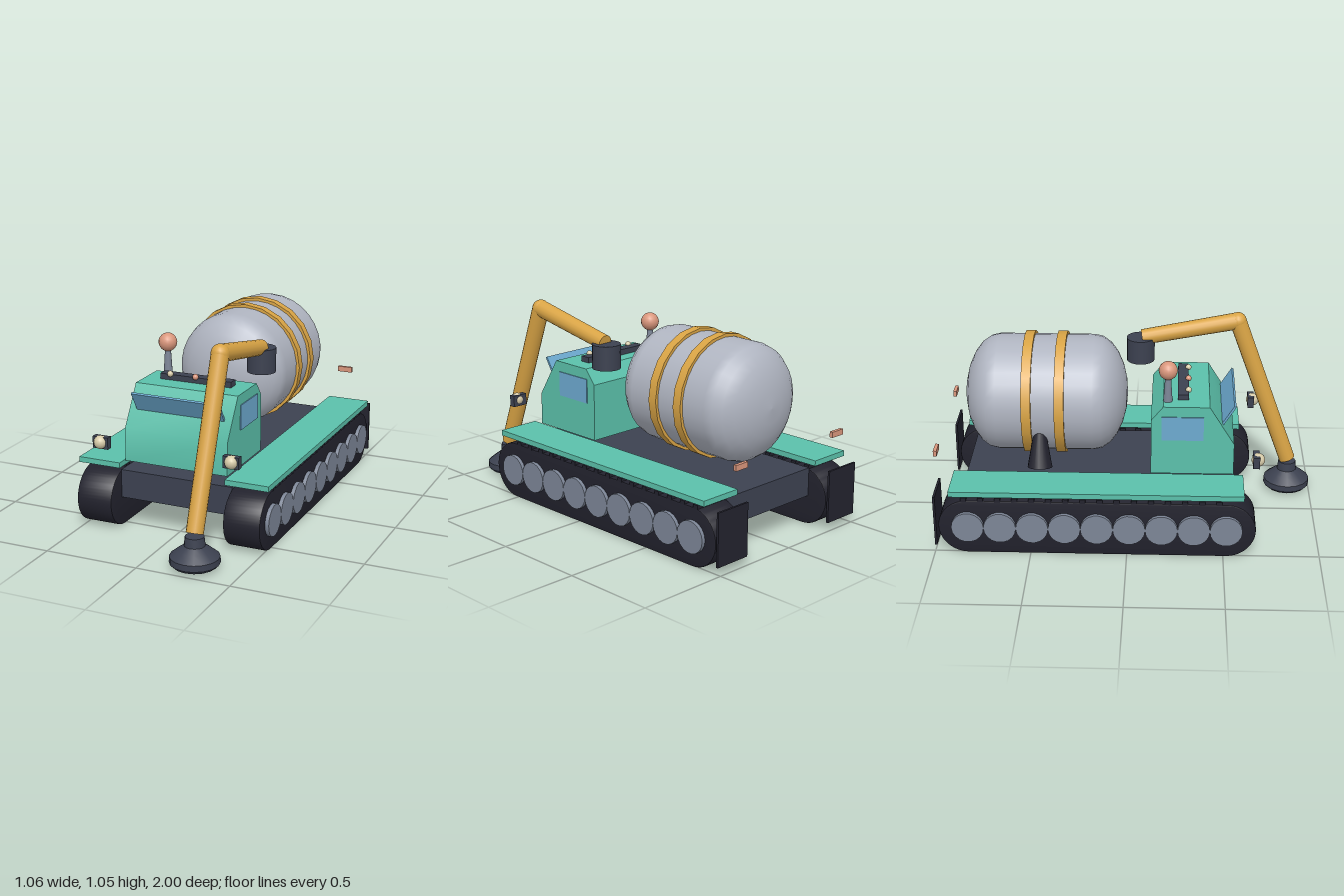
import * as THREE from 'three';
import { toCreasedNormals } from 'three/addons/utils/BufferGeometryUtils.js';

const mat = (name, color, side = THREE.FrontSide) => {
  const m = new THREE.MeshStandardMaterial({ color, side });
  m.name = name;
  return m;
};

export function createModel() {
  const teal = mat('teal paint', 0x5bc0aa);
  const yellow = mat('yellow paint', 0xd9a445);
  const drumGrey = mat('drum grey', 0xb0b5c1);
  const steel = mat('steel grey', 0x7c8596);
  const slate = mat('dark slate', 0x3c4150);
  const black = mat('rubber black', 0x22222d, THREE.DoubleSide);
  const glass = mat('blue glass', 0x6ca9cf);
  const salmon = mat('salmon lamp', 0xd9967c);
  const cream = mat('cream lamp', 0xd6caa8);

  const model = new THREE.Group();
  model.name = 'trackedMixer';

  const add = (name, geo, material, x = 0, y = 0, z = 0) => {
    const m = new THREE.Mesh(geo, material);
    m.name = name;
    m.position.set(x, y, z);
    model.add(m);
    return m;
  };
  const box = (name, material, w, h, d, x, y, z) =>
    add(name, new THREE.BoxGeometry(w, h, d), material, x, y, z);
  const ball = (name, material, r, x, y, z) =>
    add(name, new THREE.SphereGeometry(r, 16, 12), material, x, y, z);

  // Extrudes a side profile (z, y) across x, centred on x = 0
  const sideExtrude = (shape, width, bevel = 0) => {
    const depth = width - 2 * bevel;
    const geo = new THREE.ExtrudeGeometry(shape, {
      depth, curveSegments: 14, bevelEnabled: bevel > 0, bevelSize: bevel,
      bevelThickness: bevel, bevelOffset: -bevel, bevelSegments: 2,
    });
    geo.translate(0, 0, -depth / 2);
    geo.rotateY(-Math.PI / 2);
    return toCreasedNormals(geo, 0.6);
  };

  // Cylinder between two points, r1 at a and r2 at b
  const rod = (name, material, a, b, r1, r2, sides = 16) => {
    const dir = b.clone().sub(a);
    const m = add(name, new THREE.CylinderGeometry(r2, r1, dir.length(), sides), material);
    m.position.copy(a).lerp(b, 0.5);
    m.quaternion.setFromUnitVectors(new THREE.Vector3(0, 1, 0), dir.normalize());
    return m;
  };

  // Chassis
  box('chassis', slate, 0.624, 0.152, 1.41, 0, 0.234, -0.155);

  // Running gear and lamps, mirrored
  const track = new THREE.Shape();
  const r = 0.153;
  track.absarc(0.513, r, r, -Math.PI / 2, Math.PI / 2, false);
  track.absarc(-0.823, r, r, Math.PI / 2, Math.PI * 1.5, false);
  const trackGeo = sideExtrude(track, 0.198, 0.006);
  const wheelGeo = new THREE.CylinderGeometry(0.084, 0.084, 0.05, 18).rotateZ(Math.PI / 2);

  for (const s of [1, -1]) {
    const side = s > 0 ? 'left' : 'right';
    add(side + 'Track', trackGeo, black, s * 0.412, 0, 0);
    for (let i = 0; i < 9; i++)
      add(side + 'Wheel', wheelGeo, steel, s * 0.506, 0.157, 0.513 - i * 0.167);
    for (let i = 0; i < 16; i++)
      box(side + 'TrackPad', black, 0.198, 0.022, 0.03, s * 0.412, 0.311, 0.475 - i * 0.0877);
    box(side + 'Fender', teal, 0.236, 0.029, 1.515, s * 0.412, 0.351, -0.157);
    box(side + 'MudFlap', black, 0.208, 0.28, 0.012, s * 0.413, 0.185, -0.992);
    box(side + 'TailLamp', salmon, 0.084, 0.03, 0.018, s * 0.36, 0.518, -0.99);
    box(side + 'HeadlampHousing', slate, 0.086, 0.062, 0.034, s * 0.36, 0.49, 0.662);
    ball(side + 'Headlamp', cream, 0.035, s * 0.362, 0.492, 0.672);
  }

  // Cab
  const cab = new THREE.Shape([
    [0.55, 0.364], [0.55, 0.537], [0.42, 0.747], [0.18, 0.747], [0.118, 0.67], [0.118, 0.364],
  ].map(([z, y]) => new THREE.Vector2(z, y)));
  add('cab', sideExtrude(cab, 0.572), teal);
  for (const s of [1, -1])
    box('sideWindow', glass, 0.008, 0.132, 0.218, s * 0.287, 0.625, 0.281);
  const shield = box('windshield', glass, 0.488, 0.118, 0.012, 0, 0.683, 0.52);
  shield.rotation.x = 0.56;

  // Roof light bar and beacon
  box('lightBar', slate, 0.4, 0.03, 0.056, 0, 0.763, 0.283);
  [-0.143, 0, 0.143].forEach((x, i) =>
    ball('roofLamp', i === 1 ? salmon : cream, 0.016, x, 0.781, 0.31));
  rod('beaconPost', steel, new THREE.Vector3(-0.208, 0.745, 0.203),
    new THREE.Vector3(-0.208, 0.885, 0.203), 0.024, 0.015, 12);
  ball('beacon', salmon, 0.049, -0.208, 0.918, 0.203);

  // Mixing drum: cylinder with elliptical ends
  const profile = [];
  const n = 6;
  for (let i = 0; i <= n; i++) {
    const a = (i / n - 1) * Math.PI / 2;
    profile.push(new THREE.Vector2(0.307 * Math.cos(a), -0.25 + 0.178 * Math.sin(a)));
  }
  for (let i = 0; i <= n; i++) {
    const a = (i / n) * Math.PI / 2;
    profile.push(new THREE.Vector2(0.307 * Math.cos(a), 0.25 + 0.178 * Math.sin(a)));
  }
  const drumGeo = new THREE.LatheGeometry(profile, 30).rotateX(Math.PI / 2);
  add('drum', drumGeo, drumGrey, 0, 0.695, -0.438);
  const bandGeo = new THREE.CylinderGeometry(0.324, 0.324, 0.05, 20).rotateX(Math.PI / 2);
  for (const z of [-0.355, -0.525]) add('drumBand', bandGeo, yellow, 0, 0.695, z);

  // Discharge chute: flared half pipe beside the drum
  const chuteGeo = new THREE.CylinderGeometry(0.03, 0.065, 0.2, 8, 1, true, Math.PI, Math.PI);
  const chute = add('chute', chuteGeo, black, -0.275, 0.495, -0.46);
  chute.rotation.z = -0.25;

  // Pumping boom
  const root = new THREE.Vector3(0.258, 0.905, 0.06);
  const elbow = new THREE.Vector3(0.258, 1.006, 0.572);
  const tip = new THREE.Vector3(0.258, 0.18, 0.873);
  add('boomMount', new THREE.CylinderGeometry(0.076, 0.076, 0.13, 16), slate, 0.258, 0.839, 0.05);
  rod('upperBoom', yellow, root, elbow, 0.042, 0.046);
  rod('lowerBoom', yellow, elbow, tip, 0.046, 0.044);
  ball('boomElbow', yellow, 0.047, elbow.x, elbow.y, elbow.z);

  // Nozzle at the boom tip
  const nozzle = [
    [0, 0.013], [0.11, 0.013], [0.127, 0.03], [0.126, 0.062], [0.085, 0.095],
    [0.053, 0.118], [0.048, 0.165], [0, 0.165],
  ].map(([x, y]) => new THREE.Vector2(x, y));
  add('nozzle', toCreasedNormals(new THREE.LatheGeometry(nozzle, 16), 0.8), slate, 0.258, 0, 0.874);

  return model;
}
